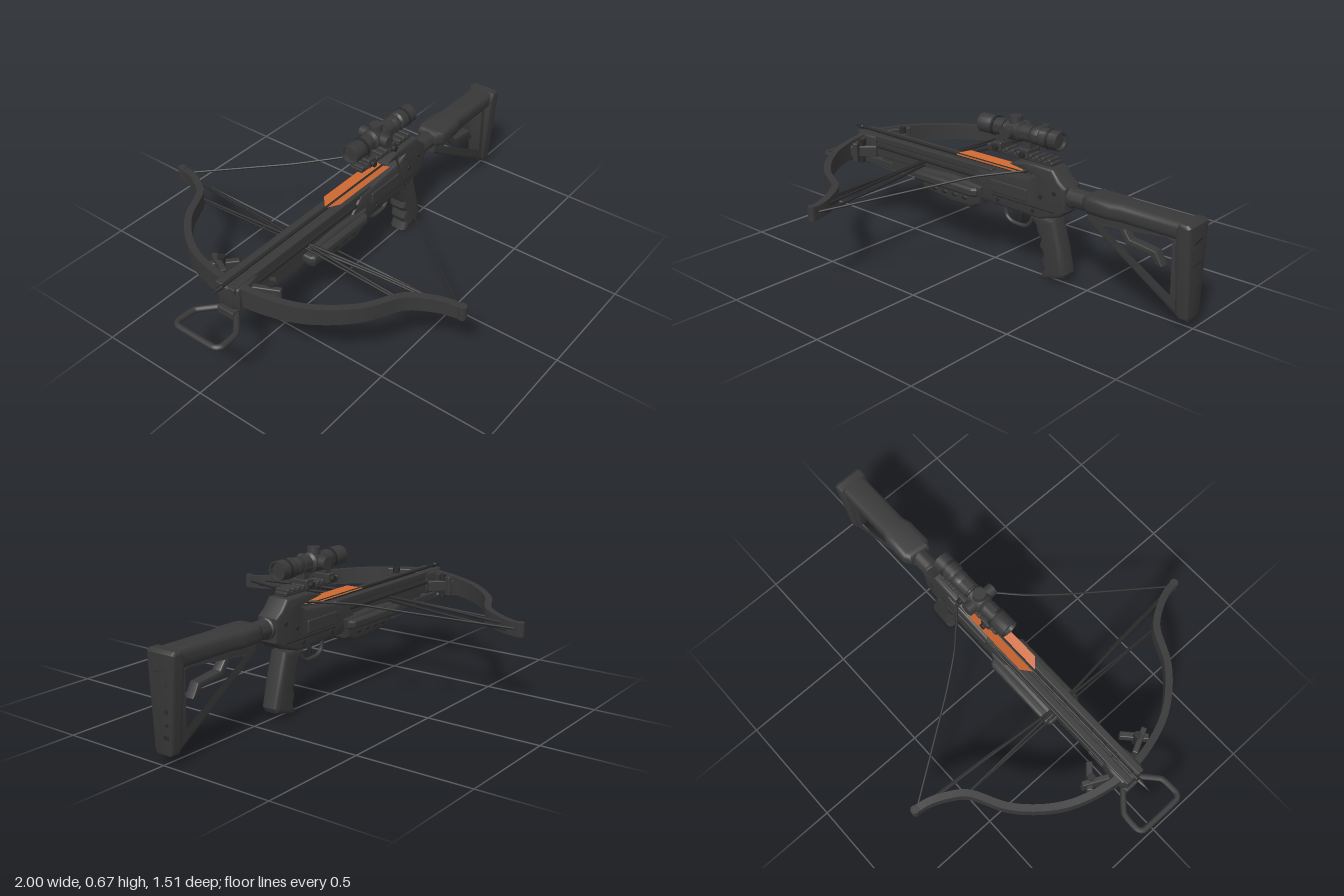
import * as THREE from 'three';
import { toCreasedNormals } from 'three/addons/utils/BufferGeometryUtils.js';
import { RoundedBoxGeometry } from 'three/addons/geometries/RoundedBoxGeometry.js';

const body = new THREE.MeshStandardMaterial({ color: 0x383838 });
const dark = new THREE.MeshStandardMaterial({ color: 0x292929 });
const orange = new THREE.MeshStandardMaterial({ color: 0xcc6630, side: THREE.DoubleSide });
body.name = 'charcoal';
dark.name = 'black';
orange.name = 'orange';

export function createModel() {
  const model = new THREE.Group();
  model.name = 'crossbow';
  const add = (name, geometry, material = body) => {
    const mesh = new THREE.Mesh(geometry, material);
    mesh.name = name;
    model.add(mesh);
    return mesh;
  };
  const v = (x, y, z) => new THREE.Vector3(x, y, z);
  const outline = (pts) => pts.map(([x, y]) => new THREE.Vector2(x, y));

  // Extrude an outline to a given thickness, centred on its depth, with bevelled edges
  const extrude = (pts, width, bevel, holes = []) => {
    const shape = new THREE.Shape(outline(pts));
    holes.forEach((h) => shape.holes.push(new THREE.Path(outline(h))));
    const g = new THREE.ExtrudeGeometry(shape, {
      depth: width - 2 * bevel, bevelEnabled: true, bevelSize: bevel,
      bevelThickness: bevel, bevelOffset: -bevel, bevelSegments: 3,
    });
    g.translate(0, 0, bevel - width / 2);
    return toCreasedNormals(g, 0.6);
  };
  // Side outline in x, y
  const plate = (name, pts, width, bevel, holes) => add(name, extrude(pts, width, bevel, holes));
  // Plan outline given for z >= 0 and mirrored across z
  const plan = (name, half, y0, y1, bevel = 0.01) => {
    const pts = [...half, ...half.map(([x, z]) => [x, -z]).reverse()];
    const g = extrude(pts, y1 - y0, bevel).rotateX(-Math.PI / 2);
    return add(name, g.translate(0, (y0 + y1) / 2, 0));
  };
  const box = (name, x0, x1, y0, y1, z0, z1, mat = body, r = 0.005) =>
    add(name, new RoundedBoxGeometry(x1 - x0, y1 - y0, z1 - z0, 2, r)
      .translate((x0 + x1) / 2, (y0 + y1) / 2, (z0 + z1) / 2), mat);
  // Profile of [x, radius] turned about a lengthwise axis
  const turned = (name, profile, y, mat = body, sides = 24) =>
    add(name, toCreasedNormals(new THREE.LatheGeometry(outline(profile.map(([x, r]) => [r, x])), sides), 0.6)
      .rotateZ(-Math.PI / 2).translate(0, y, 0), mat);
  const tube = (name, pts, r, mat = body, closed = false, tension = 0.2) =>
    add(name, new THREE.TubeGeometry(new THREE.CatmullRomCurve3(pts, closed, 'catmullrom', tension),
      pts.length * 10, r, 8, closed), mat);

  // Foot stirrup and its mount
  const loop = [[-0.80, 0.03], [-0.88, 0.105], [-0.915, 0.112], [-0.965, 0.112], [-0.986, 0.09]];
  tube('stirrup', [...loop, ...loop.map(([x, z]) => [x, -z]).reverse()].map(([x, z]) => v(x, 0.29, z)), 0.013, body, true);
  box('stirrupMount', -0.83, -0.6, 0.275, 0.31, -0.04, 0.04);
  box('lowerRail', -0.66, -0.34, 0.275, 0.34, -0.036, 0.036);

  // Barrel with a grooved track
  box('barrel', -0.8, 0.0, 0.325, 0.405, -0.042, 0.042);
  for (const s of [-1, 1]) {
    const z = s * 0.031;
    box('trackRail', -0.82, 0.02, 0.395, 0.425, z - 0.016, z + 0.016);
    box('sideRib', -0.7, 0.0, 0.365, 0.38, s * 0.044 - 0.006, s * 0.044 + 0.006, dark);
  }

  // Riser and limb pockets
  plan('riser', [[-0.82, 0.035], [-0.8, 0.055], [-0.74, 0.06], [-0.69, 0.05]], 0.32, 0.42);
  for (const s of [-1, 1]) {
    const pocket = box('limbPocket', -0.115, 0.0, 0.325, 0.415, -0.012, 0.012);
    pocket.position.set(-0.695, 0, s * 0.175);
    pocket.rotation.y = -s * 1.12;
    const brace = box('riserBrace', -0.12, 0, 0.345, 0.395, -0.013, 0.013);
    brace.position.set(-0.645, 0, s * 0.085);
    brace.rotation.y = s * 0.75;
    add('limbBolt', new THREE.CylinderGeometry(0.016, 0.016, 0.105, 12).translate(-0.7, 0.37, s * 0.13), dark);
  }

  // Recurved limbs as one sweep of rectangular sections
  const half = [[-0.775, 0.06], [-0.73, 0.235], [-0.665, 0.345], [-0.56, 0.45], [-0.41, 0.535],
    [-0.36, 0.605], [-0.33, 0.67], [-0.315, 0.745]];
  const bow = new THREE.CatmullRomCurve3([...half.map(([x, z]) => v(x, 0, -z)).reverse(), ...half.map(([x, z]) => v(x, 0, z))]);
  const rings = [];
  for (let i = 0; i <= 80; i++) {
    const p = bow.getPointAt(i / 80), t = bow.getTangentAt(i / 80), k = Math.abs(p.z) / 0.75;
    const n = v(t.z, 0, -t.x).normalize().multiplyScalar(0.015), y = 0.375 - 0.035 * k, h = 0.046 - 0.018 * k;
    rings.push([[1, 1], [1, -1], [-1, -1], [-1, 1]].map(([a, b]) => v(p.x + a * n.x, y + b * h, p.z + a * n.z)));
  }
  const tris = [];
  const quad = (a, b, c, d) => tris.push(a, b, c, a, c, d);
  for (let i = 0; i < 80; i++) {
    for (let j = 0; j < 4; j++) quad(rings[i][j], rings[i + 1][j], rings[i + 1][(j + 1) % 4], rings[i][(j + 1) % 4]);
  }
  quad(...rings[0]);
  quad(...[...rings[80]].reverse());
  add('limbs', toCreasedNormals(new THREE.BufferGeometry().setFromPoints(tris), 0.6));

  // Limb tips, string and cables
  for (const s of [-1, 1]) {
    add('limbTip', new THREE.CylinderGeometry(0.018, 0.018, 0.06, 14).translate(-0.318, 0.343, s * 0.735));
    tube('bowstring', [v(-0.305, 0.345, s * 0.71), v(-0.05, 0.41, s * 0.335), v(0.06, 0.44, s * 0.19), v(0.2, 0.46, s * 0.05)], 0.005, dark);
    tube('crossCable', [v(-0.325, 0.35, s * 0.72), v(-0.35, 0.36, s * 0.4), v(-0.385, 0.365, 0), v(-0.405, 0.345, -s * 0.53)], 0.006, dark);
    tube('innerCable', [v(-0.315, 0.33, s * 0.72), v(-0.345, 0.34, s * 0.35), v(-0.385, 0.35, s * 0.04)], 0.006, dark);
    tube('outerCable', [v(-0.405, 0.335, s * 0.53), v(-0.405, 0.36, s * 0.04)], 0.005, dark);
  }
  tube('stringCatch', [v(0.2, 0.46, -0.055), v(0.225, 0.465, 0), v(0.2, 0.46, 0.055)], 0.008, dark);

  // Bolt with tapered vanes
  turned('boltShaft', [[-0.9, 0], [-0.835, 0.011], [-0.83, 0.007], [0.2, 0.007], [0.2, 0]], 0.428, dark, 10);
  const vane = new THREE.ShapeGeometry(new THREE.Shape(outline([[-0.22, 0.006], [0.16, 0.006], [0.16, 0.045], [-0.18, 0.045]])));
  for (const angle of [1.3, -1.3]) add('vane', vane.clone().rotateX(angle).translate(0, 0.431, 0), orange);

  // Fore-end with side vents
  plate('foreEnd', [[-0.39, 0.29], [-0.375, 0.245], [-0.34, 0.24], [-0.2, 0.222], [-0.09, 0.225], [-0.04, 0.25], [-0.02, 0.34],
    [-0.2, 0.35], [-0.39, 0.34]], 0.13, 0.022);
  plan('fingerGuard', [[-0.415, 0.075], [-0.4, 0.09], [-0.06, 0.09], [-0.04, 0.075]], 0.29, 0.33, 0.012);
  for (const s of [-1, 1]) for (let i = 0; i < 4; i++) {
    add('vent', new THREE.SphereGeometry(0.017, 12, 8).scale(1, 0.5, 0.25).translate(-0.3 + i * 0.06, 0.268, s * 0.065), dark);
  }

  // Receiver
  plate('receiver', [[-0.12, 0.33], [-0.02, 0.275], [0.28, 0.27], [0.38, 0.3], [0.415, 0.33], [0.415, 0.43], [0.38, 0.455],
    [0.345, 0.497], [0.2, 0.5], [0.12, 0.475], [0.26, 0.455], [0.22, 0.435], [-0.05, 0.41]], 0.104, 0.012);
  for (const s of [-1, 1]) {
    const z = s * 0.052;
    box('sidePanel', 0.02, 0.22, 0.33, 0.385, z - 0.006, z + 0.006);
    box('panelGroove', 0.03, 0.36, 0.315, 0.322, z - 0.003, z + 0.003, dark, 0.002);
    for (const [x, y] of [[0.06, 0.3], [0.25, 0.3], [0.29, 0.37], [0.36, 0.4]]) {
      add('pin', new THREE.CylinderGeometry(0.009, 0.009, 0.008, 12).rotateX(Math.PI / 2).translate(x, y, z), dark);
    }
  }

  // Trigger, guard and grip
  tube('triggerGuard', [v(0.055, 0.275, 0), v(0.065, 0.22, 0), v(0.1, 0.196, 0), v(0.17, 0.196, 0), v(0.2, 0.225, 0), v(0.215, 0.275, 0)], 0.009, body, false, 0.4);
  tube('trigger', [v(0.125, 0.28, 0), v(0.145, 0.25, 0), v(0.14, 0.215, 0)], 0.009, dark);
  plate('grip', [[0.21, 0.28], [0.25, 0.235], [0.262, 0.2], [0.28, 0.175], [0.272, 0.145], [0.294, 0.115], [0.284, 0.08], [0.298, 0.05],
    [0.282, 0.012], [0.3, 0], [0.4, 0.03], [0.41, 0.05], [0.385, 0.16], [0.35, 0.28]], 0.086, 0.02);

  // Stock tube and shoulder stock
  turned('stockTube', [[0.4, 0], [0.4, 0.046], [0.425, 0.046], [0.43, 0.04], [0.6, 0.04], [0.6, 0]], 0.387);
  plan('stockTop', [[0.5, 0.05], [0.53, 0.07], [0.64, 0.07], [0.68, 0.058], [0.98, 0.058]], 0.36, 0.436, 0.025);
  plate('stockFrame', [[0.51, 0.32], [0.51, 0.38], [0.98, 0.38], [0.98, 0.045], [0.94, 0.045]], 0.07, 0.012,
    [[[0.575, 0.315], [0.6, 0.335], [0.88, 0.365], [0.92, 0.355], [0.92, 0.11]]]);
  plate('stockStrut', [[0.64, 0.345], [0.67, 0.345], [0.71, 0.29], [0.83, 0.275], [0.86, 0.22], [0.83, 0.22], [0.81, 0.25], [0.69, 0.265]], 0.045, 0.006);
  const butt = plate('buttPad', [[0.94, 0.06], [0.955, 0.038], [0.995, 0.04], [1, 0.06], [1, 0.425], [0.985, 0.437], [0.95, 0.437], [0.935, 0.4]], 0.14, 0.015);
  const pos = butt.geometry.attributes.position;
  for (let i = 0; i < pos.count; i++) pos.setZ(i, pos.getZ(i) * (0.55 + 0.45 * Math.min(1, pos.getY(i) / 0.36)));
  butt.geometry = toCreasedNormals(butt.geometry, 0.6);
  for (let i = 0; i < 6; i++) box('padRib', 0.992, 1, 0.1 + i * 0.05, 0.12 + i * 0.05, -0.035, 0.035, dark, 0.002);

  // Sight rail with teeth
  box('sightRail', -0.02, 0.33, 0.5, 0.518, -0.03, 0.03);
  for (let i = 0; i < 11; i++) box('railTooth', -0.018 + i * 0.032, i * 0.032, 0.512, 0.53, -0.034, 0.034);

  // Telescopic sight
  turned('scopeTube', [[-0.05, 0], [-0.05, 0.034], [-0.066, 0.036], [-0.066, 0.041], [0, 0.041], [0.012, 0.036], [0.03, 0.028], [0.2, 0.028],
    [0.215, 0.036], [0.24, 0.038], [0.25, 0.034], [0.26, 0.041], [0.35, 0.041], [0.35, 0.034], [0.335, 0.033], [0.335, 0]], 0.605);
  for (const x of [0.005, 0.295]) turned('scopeBand', [[x, 0.03], [x, 0.043], [x + 0.012, 0.043], [x + 0.012, 0.03]], 0.605, dark);
  turned('turretHousing', [[0.07, 0.028], [0.08, 0.043], [0.145, 0.043], [0.155, 0.028]], 0.605);
  add('topTurret', new THREE.CylinderGeometry(0.027, 0.03, 0.045, 18).translate(0.112, 0.645, 0));
  for (const s of [-1, 1]) {
    add('sideTurret', new THREE.CylinderGeometry(0.027, 0.027, 0.045, 18).rotateX(Math.PI / 2).translate(0.112, 0.605, s * 0.049));
  }
  for (const x of [0.04, 0.185]) {
    turned('scopeRing', [[x - 0.024, 0.027], [x - 0.024, 0.037], [x + 0.024, 0.037], [x + 0.024, 0.027]], 0.605);
    box('ringPost', x - 0.02, x + 0.02, 0.54, 0.585, -0.022, 0.022);
    box('ringClamp', x - 0.024, x + 0.024, 0.507, 0.548, -0.04, 0.04);
    add('clampKnob', new THREE.CylinderGeometry(0.013, 0.013, 0.11, 12).rotateX(Math.PI / 2).translate(x, 0.525, 0), dark);
  }
  return model;
}
